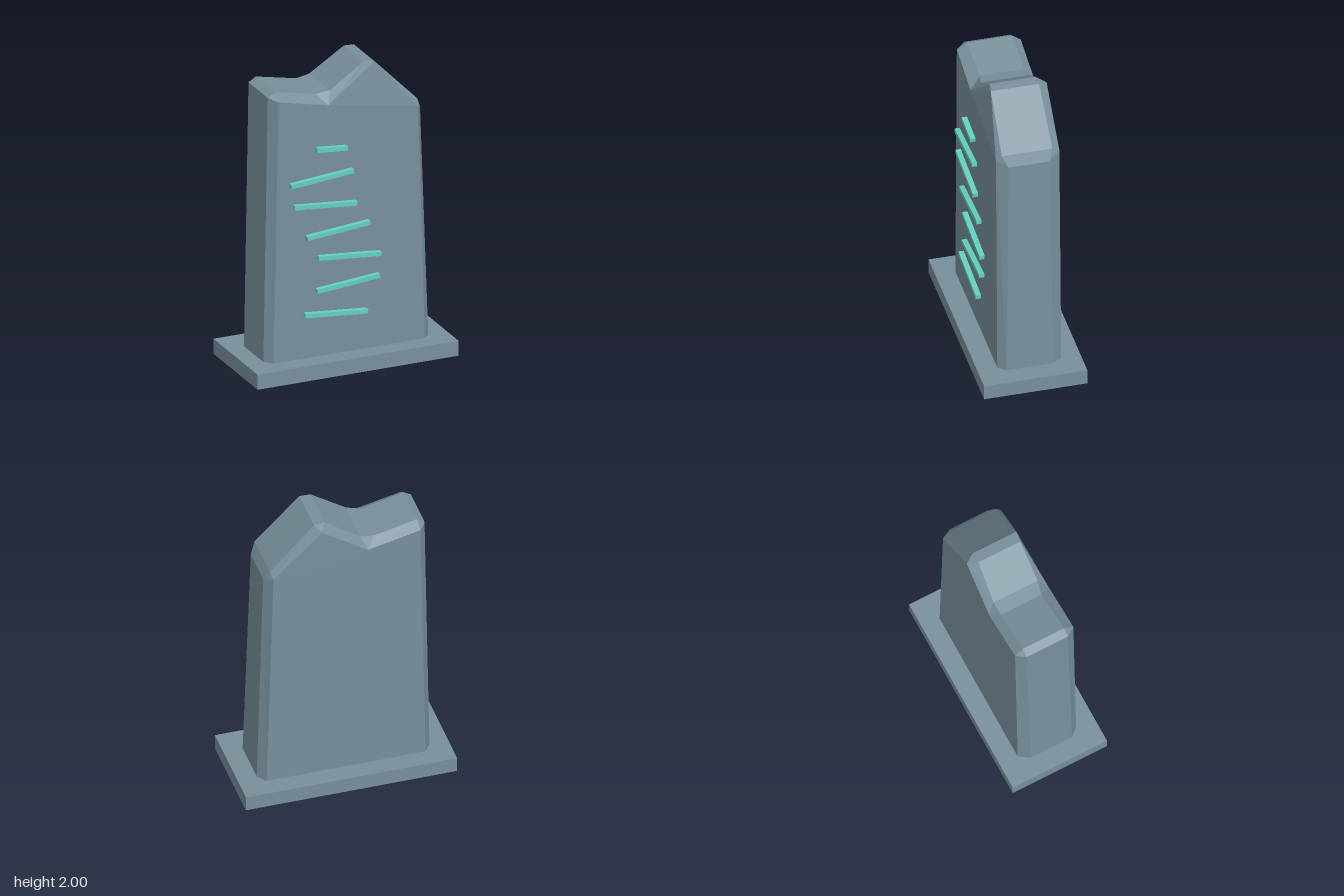
import * as THREE from 'three';

const slate = new THREE.MeshStandardMaterial({ color: 0x78909c });
slate.name = 'slate';
const teal = new THREE.MeshStandardMaterial({ color: 0x64d0be });
teal.name = 'teal';

// Outline of the broken slab, clockwise from lower left: x, y, front z, back z
const OUTLINE = [
  [-0.565, 0.1, 0.15, -0.14], [-0.53, 1.86, 0.14, -0.15], [-0.48, 1.89, 0.14, -0.15],
  [-0.2, 1.83, 0.13, -0.155], [-0.11, 1.845, 0.15, -0.16], [0.12, 2.0, 0.15, -0.145],
  [0.19, 1.995, 0.16, -0.15], [0.48, 1.7, 0.165, -0.16], [0.515, 1.63, 0.13, -0.135],
  [0.56, 0.1, 0.155, -0.145],
];
// Corners of the two big faces: lower left, upper left, notch, peak, shoulder, lower right
const FRONT = [[-0.52, 0.1, 0.203], [-0.485, 1.845, 0.203], [-0.145, 1.77, 0.203],
  [0.19, 1.995, 0.16], [0.47, 1.66, 0.2], [0.515, 0.1, 0.203]];
const BACK = [[-0.52, 0.1, -0.208], [-0.485, 1.845, -0.208], [-0.145, 1.77, -0.21],
  [0.155, 1.97, -0.208], [0.47, 1.67, -0.208], [0.515, 0.1, -0.208]];
// Face corner that each outline point bevels into
const CORNER = [0, 1, 1, 2, 2, 3, 3, 4, 4, 5];

function slabGeometry() {
  const pos = [];
  const tri = (a, b, c) => {
    const same = (p, q) => p.every((v, k) => v === q[k]);
    if (!same(a, b) && !same(b, c) && !same(a, c)) pos.push(...a, ...b, ...c);
  };
  const quad = (a, b, c, d) => { tri(a, b, c); tri(a, c, d); };
  const front = OUTLINE.map(([x, y, z]) => [x, y, z]);
  const back = OUTLINE.map(([x, y, , z]) => [x, y, z]);

  for (let i = 0; i < OUTLINE.length - 1; i++) {
    const j = i + 1, a = CORNER[i], b = CORNER[j];
    quad(front[i], front[j], back[j], back[i]); // rim
    quad(FRONT[a], FRONT[b], front[j], front[i]); // front bevel
    quad(back[i], back[j], BACK[b], BACK[a]); // back bevel
  }
  // Big faces, fanned from the notch
  for (const [p, q] of [[1, 0], [0, 5], [5, 4], [4, 3]]) {
    tri(FRONT[2], FRONT[p], FRONT[q]);
    tri(BACK[2], BACK[q], BACK[p]);
  }
  const g = new THREE.BufferGeometry();
  g.setAttribute('position', new THREE.Float32BufferAttribute(pos, 3));
  g.computeVertexNormals();
  return g;
}

export function createModel() {
  const model = new THREE.Group();
  model.name = 'brokenStele';
  const add = (name, geometry, material, x = 0, y = 0, z = 0) => {
    const mesh = new THREE.Mesh(geometry, material);
    mesh.name = name;
    mesh.position.set(x, y, z);
    model.add(mesh);
    return mesh;
  };

  add('base', new THREE.BoxGeometry(1.374, 0.1, 0.664), slate, 0, 0.05, 0);
  add('slab', slabGeometry(), slate);

  // Tilted inscription bars: centre x, centre y, length, tilt direction
  const bars = [
    [-0.13, 1.482, 0.21, -1], [-0.198, 1.295, 0.43, 1], [-0.175, 1.112, 0.43, -1],
    [-0.087, 0.93, 0.43, 1], [-0.01, 0.747, 0.43, -1], [-0.02, 0.564, 0.43, 1],
    [-0.102, 0.377, 0.43, -1],
  ];
  for (const [x, y, length, tilt] of bars) {
    const bar = add('inscriptionBar', new THREE.BoxGeometry(length, 0.028, 0.04), teal, x, y, 0.217);
    bar.rotation.z = tilt * 0.088;
  }
  return model;
}
